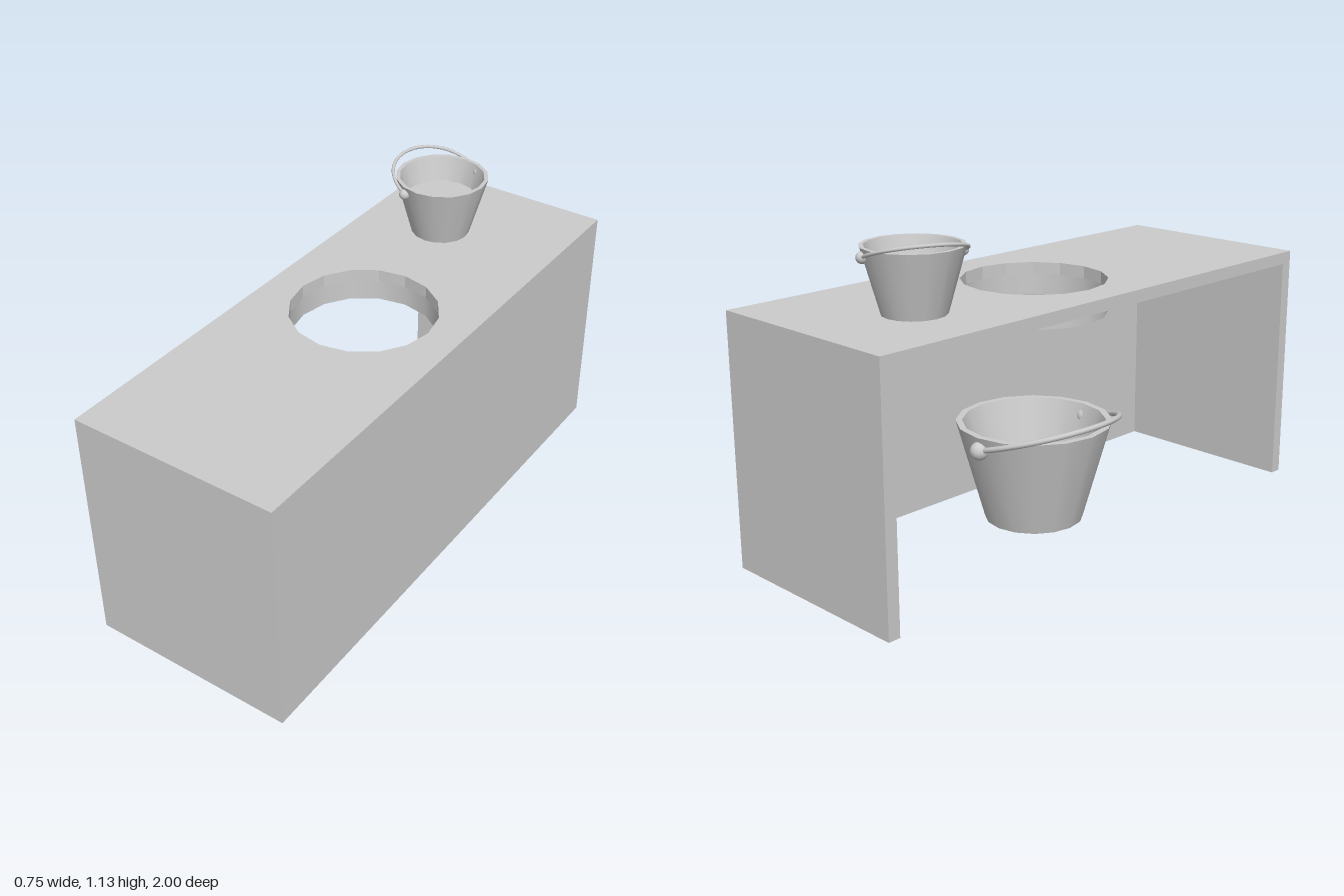
import * as THREE from 'three';

const grey = new THREE.MeshStandardMaterial({ color: 0xcccccc });
const thin = new THREE.MeshStandardMaterial({ color: 0xcccccc, side: THREE.DoubleSide });

const W = 0.75, H = 0.88, L = 2, T = 0.044; // counter size and board thickness
const HOLE = 0.257, SIDES = 16;

function add(parent, name, geometry, material = grey, x = 0, y = 0, z = 0) {
  const mesh = new THREE.Mesh(geometry, material);
  mesh.name = name;
  mesh.position.set(x, y, z);
  parent.add(mesh);
  return mesh;
}

// One straight band of a turned shape, so edges between bands stay sharp
function band(r0, y0, r1, y1) {
  return new THREE.LatheGeometry([new THREE.Vector2(r0, y0), new THREE.Vector2(r1, y1)], SIDES);
}

function makeBucket(name, fillHeight) {
  const g = new THREE.Group();
  g.name = name;
  const h = 0.365, rBase = 0.178, rTop = 0.28, rFloor = 0.157, rLip = 0.256, floorY = 0.025;
  add(g, 'outerWall', band(rBase, 0, rTop, h), thin);
  add(g, 'rim', band(rTop, h, rLip, h), thin);
  add(g, 'innerWall', band(rLip, h, rFloor, floorY), thin);
  add(g, 'baseRecess', band(rFloor, floorY, rBase, 0), thin);
  add(g, 'bucketFloor', band(rFloor, floorY, 0, floorY), thin);
  if (fillHeight) {
    const r = rFloor + (rLip - rFloor) * (fillHeight - floorY) / (h - floorY);
    add(g, 'contents', band(r, fillHeight, 0, fillHeight), thin);
  }

  // Hinge knobs and the fallen wire handle
  const pivotY = 0.315, span = 0.27, tilt = 0.31;
  for (const s of [1, -1]) {
    add(g, 'handleKnob', new THREE.SphereGeometry(0.033, 16, 12), grey, 0, pivotY, s * span);
  }
  const pts = [];
  for (let i = 0; i <= 16; i++) {
    const a = (i / 16) * Math.PI;
    const reach = 0.325 * Math.sin(a);
    pts.push(new THREE.Vector3(-reach * Math.cos(tilt), pivotY + reach * Math.sin(tilt),
      Math.cos(a) * (span + 0.03 * Math.sin(a))));
  }
  add(g, 'handle', new THREE.TubeGeometry(new THREE.CatmullRomCurve3(pts), 40, 0.01, 8));
  return g;
}

export function createModel() {
  const model = new THREE.Group();
  model.name = 'counterWithBuckets';

  // Counter top with a round opening
  const top = new THREE.Shape([
    new THREE.Vector2(-W / 2, -L / 2), new THREE.Vector2(W / 2, -L / 2),
    new THREE.Vector2(W / 2, L / 2), new THREE.Vector2(-W / 2, L / 2),
  ]);
  const ring = [];
  for (let i = 0; i < SIDES; i++) {
    const a = (i / SIDES) * Math.PI * 2;
    ring.push(new THREE.Vector2(Math.sin(a) * HOLE, Math.cos(a) * HOLE));
  }
  top.holes.push(new THREE.Path(ring));
  const topGeo = new THREE.ExtrudeGeometry(top, { depth: T, bevelEnabled: false });
  topGeo.rotateX(-Math.PI / 2);
  add(model, 'counterTop', topGeo, grey, 0, H - T, 0);

  // Collar hanging below the opening
  add(model, 'openingCollar', band(HOLE, H - 0.118, HOLE, H - T), thin);

  // Two end panels and one long panel; the -x side stays open
  const ph = H - T;
  for (const s of [1, -1]) {
    add(model, 'endPanel', new THREE.BoxGeometry(W, ph, T), grey, 0, ph / 2, s * (L - T) / 2);
  }
  add(model, 'longPanel', new THREE.BoxGeometry(T, ph, L - 2 * T), grey, (W - T) / 2, ph / 2, 0);

  // Large bucket under the opening, small one on the counter
  model.add(makeBucket('largeBucket', 0));
  const small = makeBucket('smallBucket', 0.22);
  small.scale.setScalar(0.6);
  small.position.set(-0.077, H, -0.612);
  small.rotation.y = -0.41;
  model.add(small);

  return model;
}
